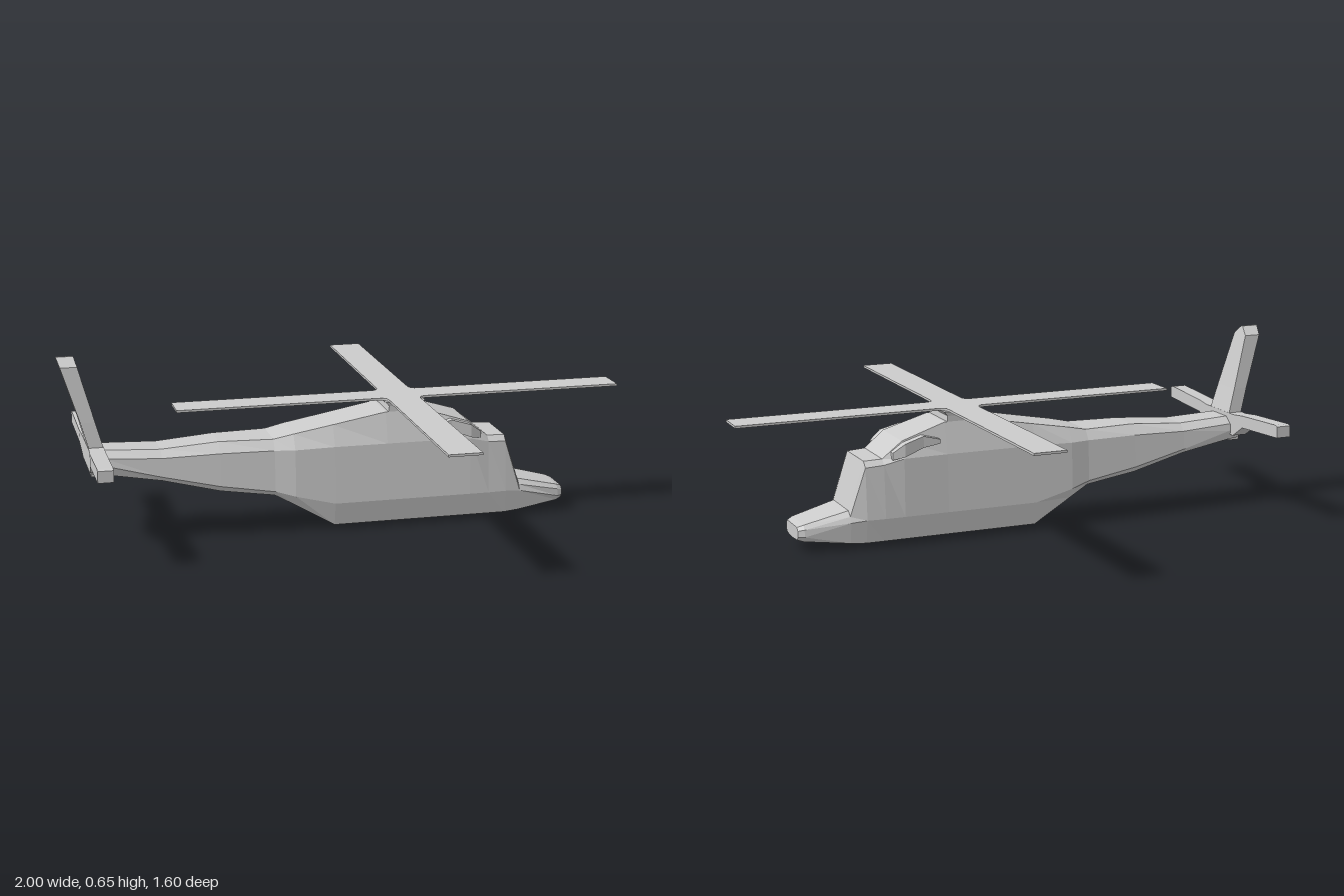
import * as THREE from 'three';

const material = new THREE.MeshStandardMaterial({ color: 0xcccccc, flatShading: true, side: THREE.DoubleSide });

// Skin closed rings of [x, y, z] points and cap both ends
function loft(name, rings) {
  const pos = [];
  const tri = (a, b, c) => pos.push(...a, ...b, ...c);
  const n = rings[0].length;
  for (let i = 0; i < rings.length - 1; i++) {
    for (let j = 0; j < n; j++) {
      const k = (j + 1) % n;
      const [a, b, c, d] = [rings[i][j], rings[i][k], rings[i + 1][j], rings[i + 1][k]];
      tri(a, c, b);
      tri(b, c, d);
    }
  }
  const first = rings[0], last = rings[rings.length - 1];
  for (let j = 1; j < n - 1; j++) {
    tri(first[0], first[j], first[j + 1]);
    tri(last[0], last[j + 1], last[j]);
  }
  const geometry = new THREE.BufferGeometry();
  geometry.setAttribute('position', new THREE.Float32BufferAttribute(pos, 3));
  geometry.computeVertexNormals();
  const mesh = new THREE.Mesh(geometry, material);
  mesh.name = name;
  return mesh;
}

// Mirrored hull section: keel height, then [height, half width] up to the roof edge
function hullRing([x, keel, ...pairs]) {
  const side = [];
  for (let i = 0; i < pairs.length; i += 2) side.push([x, pairs[i], pairs[i + 1]]);
  const other = side.map(([px, y, z]) => [px, y, -z]).reverse();
  return [[x, keel, 0], ...side, ...other];
}

// Rectangular section lying at height y
const levelRing = ([y, front, back, w]) => [[front, y, w], [back, y, w], [back, y, -w], [front, y, -w]];

// Rectangular section standing at depth z
const uprightRing = ([z, bottom, top, back, front]) =>
  [[back, top, z], [front, top, z], [front, bottom, z], [back, bottom, z]];

// Four-bladed cross with filleted inner corners
function makeRotor() {
  const long = 0.8, half = 0.057, fillet = 0.03;
  const shape = new THREE.Shape();
  for (let k = 0; k < 4; k++) {
    const c = [1, 0, -1, 0][k], s = [0, 1, 0, -1][k];
    const at = (x, y) => [x * c - y * s, x * s + y * c];
    if (k === 0) shape.moveTo(...at(long, -half));
    else shape.lineTo(...at(long, -half));
    shape.lineTo(...at(long, half));
    shape.lineTo(...at(half + fillet, half));
    shape.quadraticCurveTo(...at(half, half), ...at(half, half + fillet));
  }
  shape.closePath();
  const geometry = new THREE.ExtrudeGeometry(shape, { depth: 0.008, bevelEnabled: false, curveSegments: 4 });
  geometry.rotateX(-Math.PI / 2);
  const mesh = new THREE.Mesh(geometry, material);
  mesh.name = 'mainRotor';
  mesh.position.set(0.198, 0.445, 0);
  return mesh;
}

export function createModel() {
  const group = new THREE.Group();
  group.name = 'helicopter';

  // Fuselage: x, keel, chine, widest line, shoulder, roof edge
  group.add(loft('fuselage', [
    [-0.895, 0.24, 0.25, 0.07, 0.28, 0.08, 0.305, 0.075, 0.328, 0.05],
    [-0.85, 0.237, 0.247, 0.075, 0.28, 0.085, 0.305, 0.08, 0.328, 0.05],
    [-0.66, 0.205, 0.215, 0.08, 0.23, 0.09, 0.295, 0.085, 0.32, 0.055],
    [-0.46, 0.155, 0.165, 0.085, 0.185, 0.1, 0.3, 0.092, 0.335, 0.06],
    [-0.27, 0.125, 0.138, 0.092, 0.155, 0.108, 0.3, 0.1, 0.335, 0.075],
    [-0.2, 0.083, 0.1, 0.1, 0.135, 0.12, 0.3, 0.112, 0.35, 0.08],
    [-0.06, 0, 0.018, 0.105, 0.1, 0.122, 0.303, 0.114, 0.375, 0.082],
    [0.13, 0, 0.018, 0.105, 0.1, 0.122, 0.303, 0.114, 0.41, 0.085],
    [0.27, 0, 0.018, 0.105, 0.1, 0.122, 0.303, 0.114, 0.41, 0.085],
    [0.43, 0, 0.018, 0.105, 0.1, 0.122, 0.303, 0.12, 0.36, 0.095],
    [0.5, 0, 0.018, 0.105, 0.1, 0.122, 0.285, 0.11, 0.303, 0.09],
    [0.565, 0, 0.018, 0.105, 0.1, 0.118, 0.28, 0.104, 0.3, 0.085],
    [0.62, 0.006, 0.022, 0.1, 0.095, 0.11, 0.115, 0.1, 0.132, 0.08],
    [0.775, 0.03, 0.036, 0.065, 0.055, 0.08, 0.08, 0.078, 0.094, 0.065],
    [0.795, 0.038, 0.042, 0.055, 0.055, 0.068, 0.075, 0.066, 0.086, 0.055],
  ].map(hullRing)));

  // Engine intake bulges beside the roof
  for (const s of [1, -1]) {
    const intake = loft(s > 0 ? 'rightIntake' : 'leftIntake', [
      [0.3, 0.345, 0.36, 0.122],
      [0.36, 0.335, 0.375, 0.12],
      [0.43, 0.31, 0.355, 0.128],
      [0.47, 0.3, 0.325, 0.115],
    ].map(([x, lo, hi, w]) => {
      const [z0, z1] = s > 0 ? [0.07, w] : [-w, -0.07];
      return [[x, lo, z1], [x, hi, z1], [x, hi, z0], [x, lo, z0]];
    }));
    group.add(intake);
  }

  // Swept tail fin with a peaked tip: y, front x, back x, half width
  group.add(loft('tailFin', [
    [0.24, -0.86, -0.9, 0.065],
    [0.34, -0.855, -0.905, 0.068],
    [0.43, -0.88, -0.93, 0.06],
    [0.62, -0.932, -0.99, 0.04],
    [0.65, -0.94, -1, 0.004],
  ].map(levelRing)));

  // Tailplane with flared roots: z, bottom, top, back x, front x
  const half = [
    [0.395, 0.316, 0.356, -0.915, -0.862],
    [0.38, 0.315, 0.36, -0.915, -0.862],
    [0.16, 0.305, 0.349, -0.913, -0.858],
    [0.1, 0.265, 0.343, -0.908, -0.855],
  ];
  const mirrored = half.map(([z, ...rest]) => [-z, ...rest]);
  group.add(loft('tailplane', [...mirrored, ...half.slice().reverse()].map(uprightRing)));

  // Rotor mast housing
  group.add(loft('rotorHub', [
    [0.395, 0.262, 0.138, 0.085],
    [0.43, 0.258, 0.142, 0.085],
    [0.445, 0.272, 0.128, 0.088],
  ].map(levelRing)));

  group.add(makeRotor());
  return group;
}
